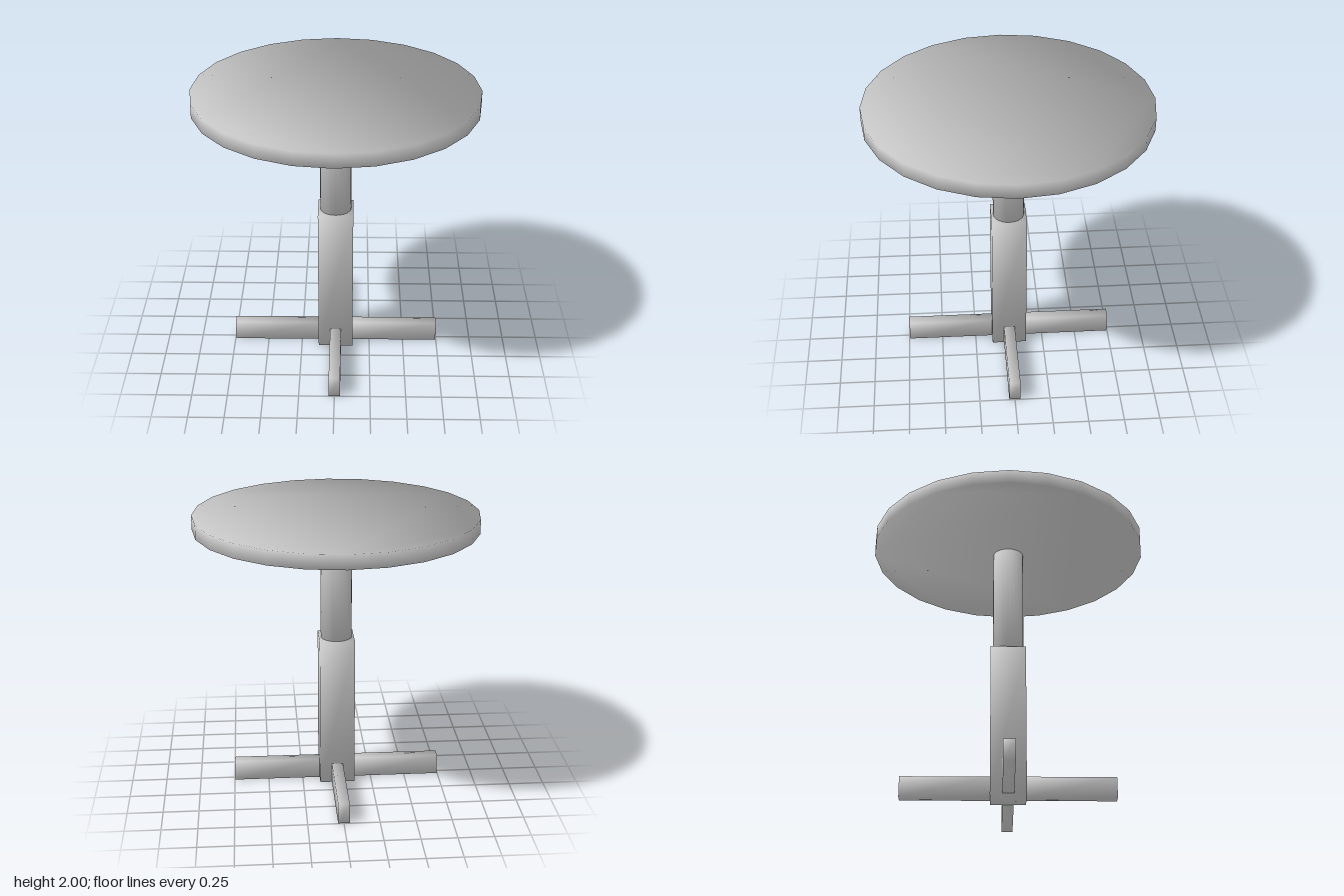
import * as THREE from 'three';

const material = new THREE.MeshStandardMaterial({ color: 0xcccccc });

// Smooth shading over every edge: each corner's normal is the even mean of its
// faces; rise is the share of the end face against the side faces
function soften(geometry, rise) {
  geometry.center();
  geometry.computeBoundingBox();
  const half = geometry.boundingBox.max;
  const { position, normal } = geometry.attributes;
  const n = new THREE.Vector3();
  for (let i = 0; i < position.count; i++) {
    n.fromBufferAttribute(position, i).divide(half);
    n.y *= rise;
    n.normalize();
    normal.setXYZ(i, n.x, n.y, n.z);
  }
  return geometry;
}

const softBox = (width, height, depth) =>
  soften(new THREE.BoxGeometry(width, height, depth), 1);

// Upright 24-sided prism whose ends have no centre point
function softDisc(radius, height) {
  const outline = [];
  for (let i = 0; i < 24; i++) {
    const angle = i * Math.PI / 12;
    outline.push(new THREE.Vector2(Math.cos(angle) * radius, Math.sin(angle) * radius));
  }
  const geometry = new THREE.ExtrudeGeometry(new THREE.Shape(outline),
    { depth: height, bevelEnabled: false });
  return soften(geometry.rotateX(-Math.PI / 2), 0.5);
}

function part(name, geometry, x, y, z) {
  const mesh = new THREE.Mesh(geometry, material);
  mesh.name = name;
  mesh.position.set(x, y, z);
  return mesh;
}

export function createModel() {
  const table = new THREE.Group();
  table.name = 'pedestalTable';

  // Round top
  const topThickness = 0.1;
  table.add(part('tableTop', softDisc(0.99, topThickness), 0, 2 - topThickness / 2, 0));

  // Round upper post standing on a square lower column
  const columnHeight = 1.095, columnWidth = 0.25;
  const postHeight = 2 - topThickness - columnHeight;
  table.add(part('upperPost', softDisc(0.11, postHeight), 0, columnHeight + postHeight / 2, 0));
  table.add(part('lowerColumn', softBox(columnWidth, columnHeight, columnWidth),
    0, columnHeight / 2, 0));

  // Four feet in a cross, each running out from a face of the column
  const reach = 0.745, footHeight = 0.147;
  const footGeometry = softBox(reach - columnWidth / 2, footHeight, 0.08);
  const middle = (reach + columnWidth / 2) / 2;
  for (let i = 0; i < 4; i++) {
    const angle = i * Math.PI / 2;
    const foot = part('foot', footGeometry,
      Math.cos(angle) * middle, footHeight / 2, -Math.sin(angle) * middle);
    foot.rotation.y = angle;
    table.add(foot);
  }
  return table;
}
